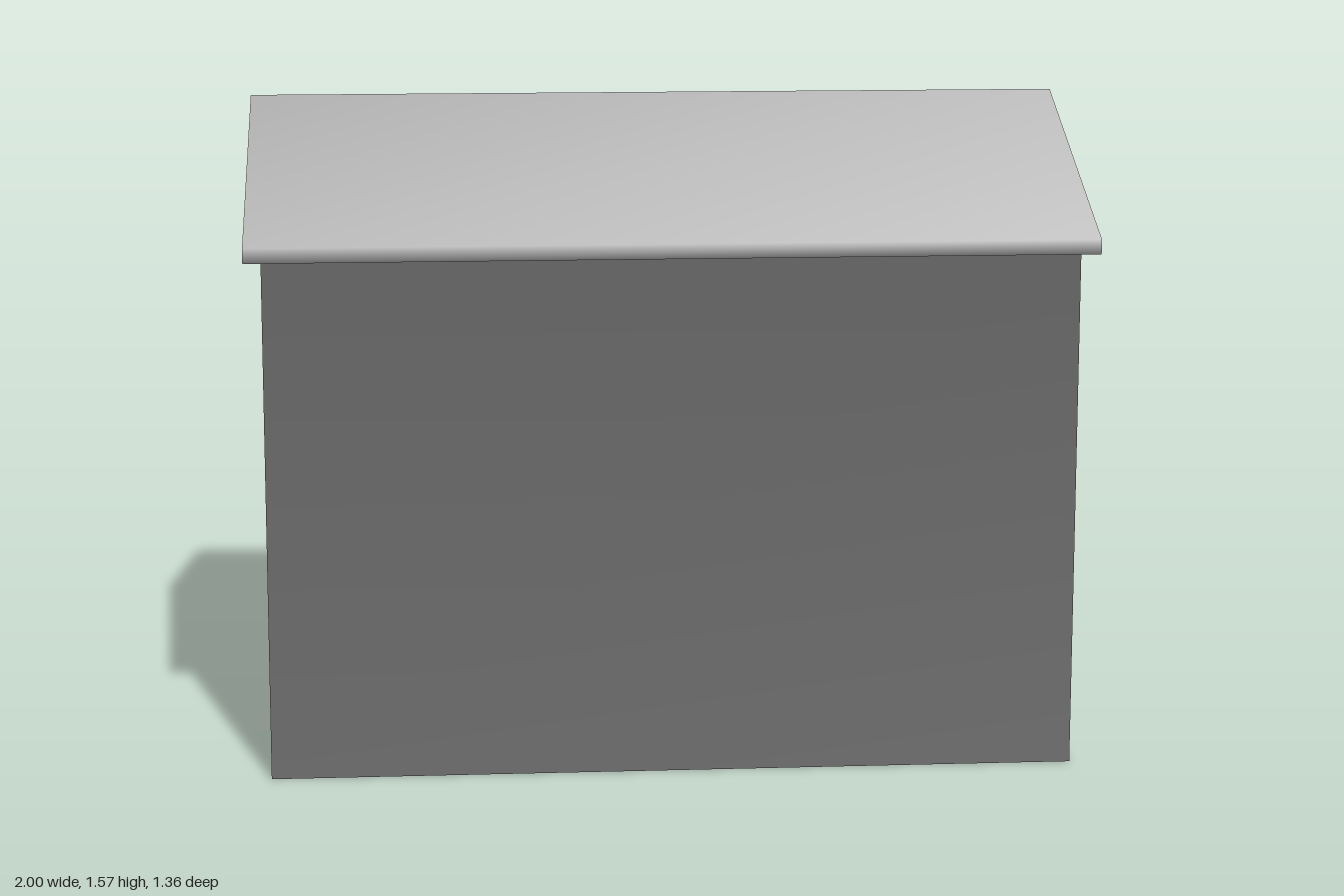
import * as THREE from 'three';

const V = (x, y, z) => new THREE.Vector3(x, y, z);

// Collects flat faces by part, then shades them smoothly across shared corners
class Skin {
  parts = new Map();
  normals = new Map();

  key(p) {
    return [p.x, p.y, p.z].map((n) => Math.round(n * 1e4)).join();
  }

  // Flat polygon with optional holes, turned to face along the hint
  face(name, outline, hint, holes = []) {
    const [ax, ay, az] = hint.toArray().map(Math.abs);
    const flat = (p) => (ax >= ay && ax >= az ? new THREE.Vector2(p.y, p.z)
      : ay >= az ? new THREE.Vector2(p.z, p.x) : new THREE.Vector2(p.x, p.y));
    const points = [outline, ...holes].flat();
    const triangles = THREE.ShapeUtils.triangulateShape(outline.map(flat), holes.map((h) => h.map(flat)));
    if (!this.parts.has(name)) this.parts.set(name, []);
    for (const triangle of triangles) {
      let [a, b, c] = triangle.map((i) => points[i]);
      const normal = new THREE.Triangle(a, b, c).getNormal(V(0, 0, 0));
      if (normal.dot(hint) < 0) {
        [b, c] = [c, b];
        normal.negate();
      }
      this.parts.get(name).push(a, b, c);
      // Each corner counts by its angle
      for (const [p, q, r] of [[a, b, c], [b, c, a], [c, a, b]]) {
        const angle = q.clone().sub(p).angleTo(r.clone().sub(p));
        const k = this.key(p);
        if (!this.normals.has(k)) this.normals.set(k, V(0, 0, 0));
        this.normals.get(k).addScaledVector(normal, angle);
      }
    }
  }

  build(group) {
    const material = new THREE.MeshStandardMaterial({ color: 0xcccccc });
    for (const [name, points] of this.parts) {
      const geometry = new THREE.BufferGeometry().setFromPoints(points);
      const normals = points.flatMap((p) => this.normals.get(this.key(p)).clone().normalize().toArray());
      geometry.setAttribute('normal', new THREE.Float32BufferAttribute(normals, 3));
      const mesh = new THREE.Mesh(geometry, material);
      mesh.name = name;
      group.add(mesh);
    }
  }
}

// Projecting frame with recessed panes; place(u, v, d) puts a point on the wall
function addFrame(skin, name, place, rect, panes, front, back) {
  const origin = place(0, 0, 0);
  const direction = (u, v, d) => place(u, v, d).sub(origin);
  const corners = ([u0, v0, u1, v1], d) =>
    [[u0, v0], [u1, v0], [u1, v1], [u0, v1]].map(([u, v]) => place(u, v, d));
  const ring = (r, d0, d1, sign) => {
    const a = corners(r, d0), b = corners(r, d1);
    [[0, -1], [1, 0], [0, 1], [-1, 0]].forEach(([u, v], i) => {
      const j = (i + 1) % 4;
      skin.face(name, [a[i], a[j], b[j], b[i]], direction(u * sign, v * sign, 0));
    });
  };
  ring(rect, 0, front, 1);
  skin.face(name, corners(rect, front), direction(0, 0, 1), panes.map((p) => corners(p, front)));
  for (const pane of panes) {
    ring(pane, back, front, -1);
    skin.face(name, corners(pane, back), direction(0, 0, 1));
  }
}

export function createModel() {
  const house = new THREE.Group();
  house.name = 'house';
  const skin = new Skin();

  const X = 0.96, Z = 0.64, top = 1.245;   // walls
  const roofX = 1, roofZ = 0.68, gableX = 0.987;
  const rows = [[0.32, 0.52], [0.96, 1.113]];  // back window heights
  const doorZ = 0.33, doorTop = 0.575, sill = 0.86;

  // Plain front and side walls; back corners carry the window heights
  const backEdge = [top, ...rows.flat().reverse(), 0];
  skin.face('frontWall', [V(-X, 0, Z), V(X, 0, Z), V(X, top, Z), V(-X, top, Z)], V(0, 0, 1));
  skin.face('sideWall', [V(-X, 0, Z), V(-X, top, Z), ...backEdge.map((y) => V(-X, y, -Z))], V(-1, 0, 0));
  skin.face('floor', [
    V(-X, 0, -Z), V(X, 0, -Z), V(X, 0, -doorZ), V(X, 0, doorZ), V(X, 0, Z), V(-X, 0, Z),
  ], V(0, -1, 0));

  // Gable end wall on both sides of the door, and the panel above the door
  const jamb = [0, doorTop, sill, top];
  skin.face('endWall', [
    ...jamb.map((y) => V(X, y, doorZ)), V(X, top, Z), V(X, 0, Z),
  ], V(1, 0, 0));
  skin.face('endWall', [
    ...jamb.map((y) => V(X, y, -doorZ)), ...backEdge.map((y) => V(X, y, -Z)),
  ], V(1, 0, 0));
  skin.face('middlePanel', [
    V(X, doorTop, -doorZ), V(X, doorTop, doorZ), V(X, sill, doorZ), V(X, sill, -doorZ),
  ], V(1, 0, 0));

  // Double door and double window
  for (const [name, y0, y1, rim] of [
    ['doorFrame', 0, doorTop, 0.02],
    ['upperWindow', sill, top, 0.01],
  ]) {
    const panes = [[-0.312, -0.01], [0.01, 0.312]].map(([a, b]) => [a, y0 + 0.01, b, y1 - rim]);
    addFrame(skin, name, (u, v, d) => V(X + d, v, u), [-doorZ, y0, doorZ, y1], panes, 0.026, -0.03);
  }

  // Back wall, notched at both corners for the windows
  const profile = [
    [X, 0],
    ...rows.flatMap(([y0, y1]) => [[X, y0], [0.32, y0], [0.32, y1], [X, y1]]),
    [X, top],
  ];
  skin.face('backWall', [
    ...profile.map(([x, y]) => V(x, y, -Z)),
    ...profile.map(([x, y]) => V(-x, y, -Z)).reverse(),
  ], V(0, 0, -1));
  const t = 0.008;
  for (const [y0, y1] of rows) {
    for (const x0 of [-X, 0.32]) {
      const x1 = x0 + 0.64;
      addFrame(skin, 'backWindow', (u, v, d) => V(u, v, -Z - d), [x0, y0, x1, y1],
        [[x0 + t, y0 + t, x1 - t, y1 - t]], 0.015, -0.035);
    }
  }

  // Flat soffit around the wall tops
  const level = (x, z) => [V(-x, top, -z), V(x, top, -z), V(x, top, z), V(-x, top, z)];
  skin.face('soffit', level(gableX, roofZ), V(0, -1, 0), [level(X, Z)]);

  // Roof slopes and fascias, front and back
  const ridge = 1.565, eave = 1.28, innerRidge = 1.535;
  for (const s of [1, -1]) {
    const z = s * roofZ;
    skin.face('roof', [
      V(-roofX, eave, z), V(roofX, eave, z), V(roofX, ridge, 0), V(-roofX, ridge, 0),
    ], V(0, 1, s * 0.4));
    skin.face('fascia', [
      V(-roofX, top, z), V(roofX, top, z), V(roofX, eave, z), V(-roofX, eave, z),
    ], V(0, 0, s));
  }

  // Gable triangles, with the roof edge standing slightly proud of them
  for (const s of [1, -1]) {
    const x = s * roofX, g = s * gableX;
    skin.face('gable', [V(g, top, -roofZ), V(g, top, roofZ), V(g, innerRidge, 0)], V(s, 0, 0));
    for (const side of [1, -1]) {
      const z = side * roofZ;
      skin.face('roofEdge', [
        V(x, top, z), V(x, eave, z), V(x, ridge, 0), V(x, innerRidge, 0),
      ], V(s, 0, 0));
      skin.face('roofEdge', [
        V(x, top, z), V(x, innerRidge, 0), V(g, innerRidge, 0), V(g, top, z),
      ], V(0, -1, -side * 0.4));
    }
  }

  skin.build(house);
  return house;
}
